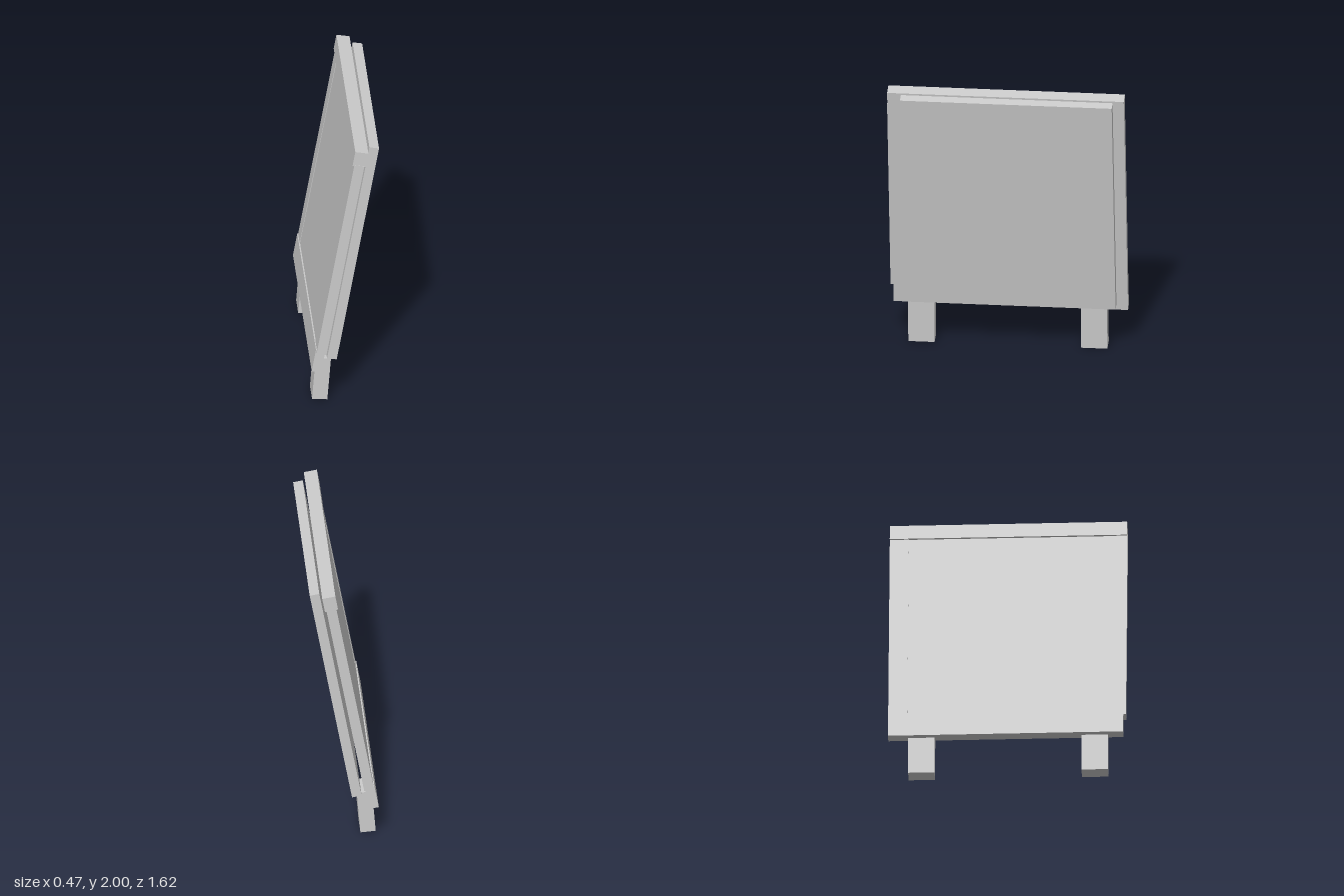
import * as THREE from 'three';

export function createModel() {
  const model = new THREE.Group();
  const material = new THREE.MeshStandardMaterial({ color: 0xcccccc, flatShading: true });

  // Box given by its limits in x, y and z
  const slab = (name, parent, [x0, x1], [y0, y1], [z0, z1]) => {
    const mesh = new THREE.Mesh(new THREE.BoxGeometry(x1 - x0, y1 - y0, z1 - z0), material);
    mesh.position.set((x0 + x1) / 2, (y0 + y1) / 2, (z0 + z1) / 2);
    mesh.name = name;
    parent.add(mesh);
    return mesh;
  };

  // Everything above the legs leans ten degrees
  const board = new THREE.Group();
  board.name = 'leaningBoard';
  board.rotation.z = -THREE.MathUtils.degToRad(10);
  model.add(board);

  slab('frontPanel', board, [-0.18, -0.113], [0.31, 1.978], [-0.735, 0.715]);

  // Rear frame
  slab('topRail', board, [-0.286, -0.195], [1.873, 1.981], [-0.81, 0.81]);
  slab('bottomRail', board, [-0.281, -0.215], [0.24, 0.41], [-0.81, 0.795]);
  slab('stile', board, [-0.275, -0.206], [0.388, 1.88], [0.68, 0.813]);
  slab('stile', board, [-0.275, -0.206], [0.388, 1.88], [-0.81, -0.68]);
  slab('backPanel', board, [-0.272, -0.212], [0.395, 1.88], [-0.685, 0.685]);

  // Short legs with a gentler lean
  for (const z of [0.6, -0.583]) {
    const leg = slab('leg', model, [-0.212, -0.107], [0.004, 0.324], [z - 0.09, z + 0.09]);
    leg.rotation.z = -THREE.MathUtils.degToRad(4.5);
  }
  return model;
}
